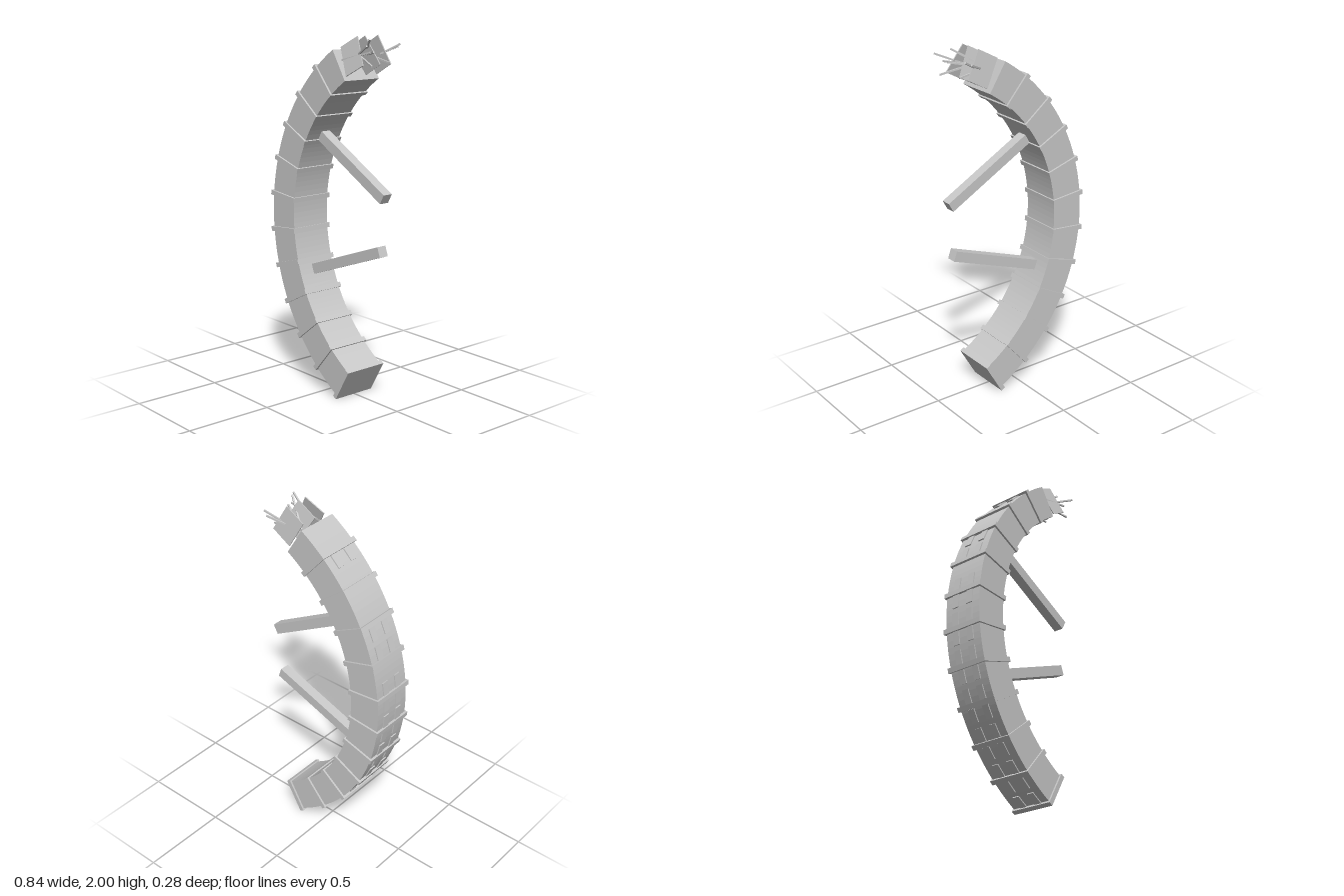
import * as THREE from 'three';

const CX = 0.7, CY = 0.981, CZ = 0.005;      // centre of the big ring
const R_IN = 0.925, R_OUT = 1.11, STEP = 120 / 11;
const rad = THREE.MathUtils.degToRad;

export function createModel() {
  const model = new THREE.Group();
  const grey = new THREE.MeshStandardMaterial({ color: 0xc8c8c8 });
  grey.name = 'plainGrey';

  const add = (name, geometry) => {
    const mesh = new THREE.Mesh(geometry, grey);
    mesh.name = name;
    model.add(mesh);
    return mesh;
  };

  // Box standing on the ring at a given angle (degrees above the horizontal) and radius
  const onRing = (name, angle, radius, radial, along, depth, z) => {
    const a = rad(angle);
    const mesh = add(name, new THREE.BoxGeometry(radial, along, depth));
    mesh.position.set(CX - radius * Math.cos(a), CY + radius * Math.sin(a), z);
    mesh.rotation.z = -a;
  };

  // Square bar between two points
  const bar = (name, from, to, thick) => {
    const a = new THREE.Vector3(...from), b = new THREE.Vector3(...to);
    const mesh = add(name, new THREE.BoxGeometry(thick, thick, a.distanceTo(b)));
    mesh.position.copy(a).lerp(b, 0.5);
    mesh.lookAt(b);
  };

  // Curved hull, square in section
  const start = rad(240), end = rad(122);
  const arc = new THREE.Shape();
  arc.absarc(CX, CY, R_OUT, start, end, true);
  arc.absarc(CX, CY, R_IN, end, start, false);
  const hull = new THREE.ExtrudeGeometry(arc, { depth: 0.24, bevelEnabled: false, curveSegments: 32 });
  hull.translate(0, 0, CZ - 0.12);
  add('curvedHull', hull);

  // Collars around the hull
  for (let i = 0; i < 11; i++) onRing('collar', -60 + i * STEP, 1.02, 0.206, 0.027, 0.262, CZ);

  // Window plates on the outer face: rows present in each bay, from the bottom up
  const rows = [[0, 1], [0, 1], [0, 1], [0, 1], [0, 1], [0, 1], [0], [0, 1], [], [1]];
  rows.forEach((bay, i) => bay.forEach((row) => {
    const angle = -60 + (i + 0.25 + row * 0.5) * STEP;
    for (const side of [-1, 1]) onRing('windowPlate', angle, R_OUT + 0.002, 0.008, 0.076, 0.042, CZ + side * 0.05);
  }));

  // Spokes pointing inwards
  bar('upperSpoke', [-0.13, 1.451, CZ], [0.402, 1.155, CZ], 0.058);
  bar('lowerSpoke', [-0.2, 0.656, CZ], [0.38, 0.867, CZ], 0.058);

  // Torn panels at the upper end: z at the top left, top right and bottom left corners
  for (const [tl, tr, bl] of [[-0.075, -0.07, -0.095], [0.015, 0.02, -0.02], [0.085, 0.07, 0.12]]) {
    const corner = new THREE.Vector3(0.132, 1.935, tl);
    const u = new THREE.Vector3(0.247, 1.997, tr).sub(corner);
    const v = new THREE.Vector3(0.216, 1.79, bl).sub(corner);
    const panel = add('tornPanel', new THREE.BoxGeometry(u.length(), v.length(), 0.006));
    panel.position.copy(corner).addScaledVector(u, 0.5).addScaledVector(v, 0.5);
    const x = u.clone().normalize(), z = u.clone().cross(v).normalize().negate();
    panel.quaternion.setFromRotationMatrix(new THREE.Matrix4().makeBasis(x, z.clone().cross(x), z));
  }

  // Bent rods sticking out of the break
  const rods = [
    [[0.25, 1.9, -0.085], [0.335, 1.94, -0.135]],
    [[0.265, 1.9, -0.075], [0.365, 1.955, -0.12]],
    [[0.2, 1.89, -0.06], [0.355, 1.86, -0.053]],
    [[0.17, 1.88, -0.05], [0.33, 1.985, 0.06]],
    [[0.2, 1.89, -0.03], [0.355, 1.92, 0.055]],
    [[0.19, 1.9, 0.02], [0.38, 1.85, 0.09]],
    [[0.16, 1.87, 0.1], [0.36, 1.92, 0.085]],
    [[0.24, 1.89, 0.075], [0.385, 1.955, 0.13]],
  ];
  for (const [from, to] of rods) bar('bentRod', from, to, 0.009);

  return model;
}
